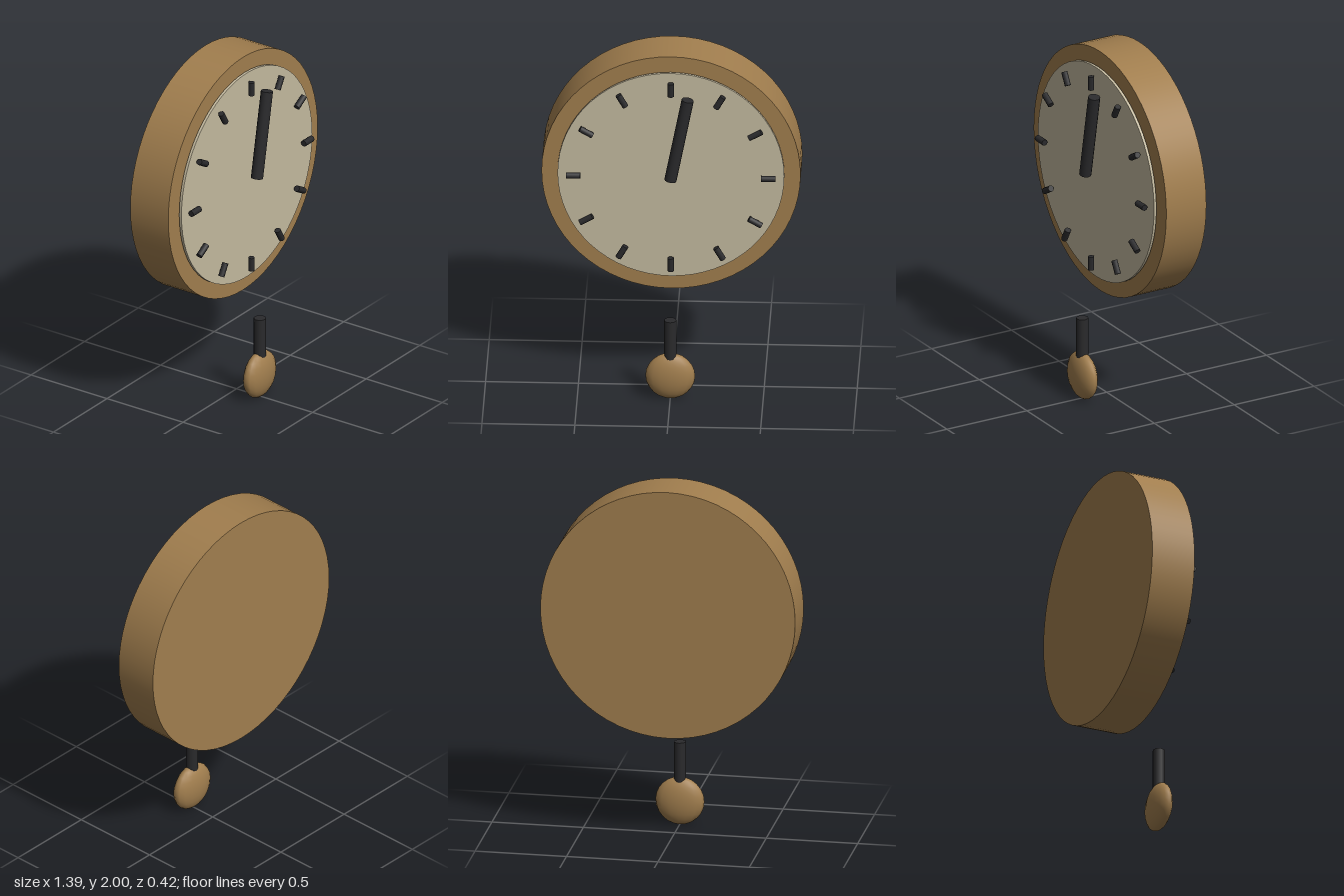
import * as THREE from 'three';

const CENTRE_Y = 1.303;

function material(name, color) {
  const m = new THREE.MeshStandardMaterial({ color });
  m.name = name;
  return m;
}

export function createModel() {
  const clock = new THREE.Group();
  clock.name = 'pendulumClock';
  const wood = material('warm wood', 0xa17e4e);
  const cream = material('cream', 0xc4ba9f);
  const black = material('black', 0x2a2a2c);

  function add(name, geometry, mat, x, y, z, parent = clock) {
    const mesh = new THREE.Mesh(geometry, mat);
    mesh.name = name;
    mesh.position.set(x, y, z);
    parent.add(mesh);
    return mesh;
  }

  // Disc with its axis along z
  const disc = (radius, depth) =>
    new THREE.CylinderGeometry(radius, radius, depth, 64).rotateX(Math.PI / 2);

  // Round case and the dial floating just in front of it
  add('case', disc(0.697, 0.25), wood, 0, CENTRE_Y, -0.083);
  add('dial', disc(0.61, 0.015), cream, 0, CENTRE_Y, 0.06);

  // Twelve hour markers, each a short radial rod
  const markers = new THREE.Group();
  markers.name = 'hourMarkers';
  markers.position.set(0, CENTRE_Y, 0.098);
  clock.add(markers);
  const markerRod = new THREE.CylinderGeometry(0.0175, 0.0175, 0.077, 8);
  for (let i = 0; i < 12; i++) {
    const a = (i * Math.PI) / 6;
    const marker = add(`hourMarker${i}`, markerRod, black,
      Math.sin(a) * 0.525, Math.cos(a) * 0.525, 0, markers);
    marker.rotation.z = -a;
  }

  // Single hand, pivoting at the dial centre
  const handRod = new THREE.CylinderGeometry(0.033, 0.033, 0.493, 12).translate(0, 0.2465, 0);
  add('hand', handRod, black, 0, CENTRE_Y, 0.134).rotation.z = -0.19;

  // Pendulum rod and flattened bob
  add('pendulumRod', new THREE.CylinderGeometry(0.033, 0.033, 0.25, 12), black, 0, 0.345, 0.153);
  add('pendulumBob', new THREE.SphereGeometry(0.134, 16, 12).scale(1, 1, 0.42),
    wood, 0, 0.136, 0.152);

  return clock;
}
